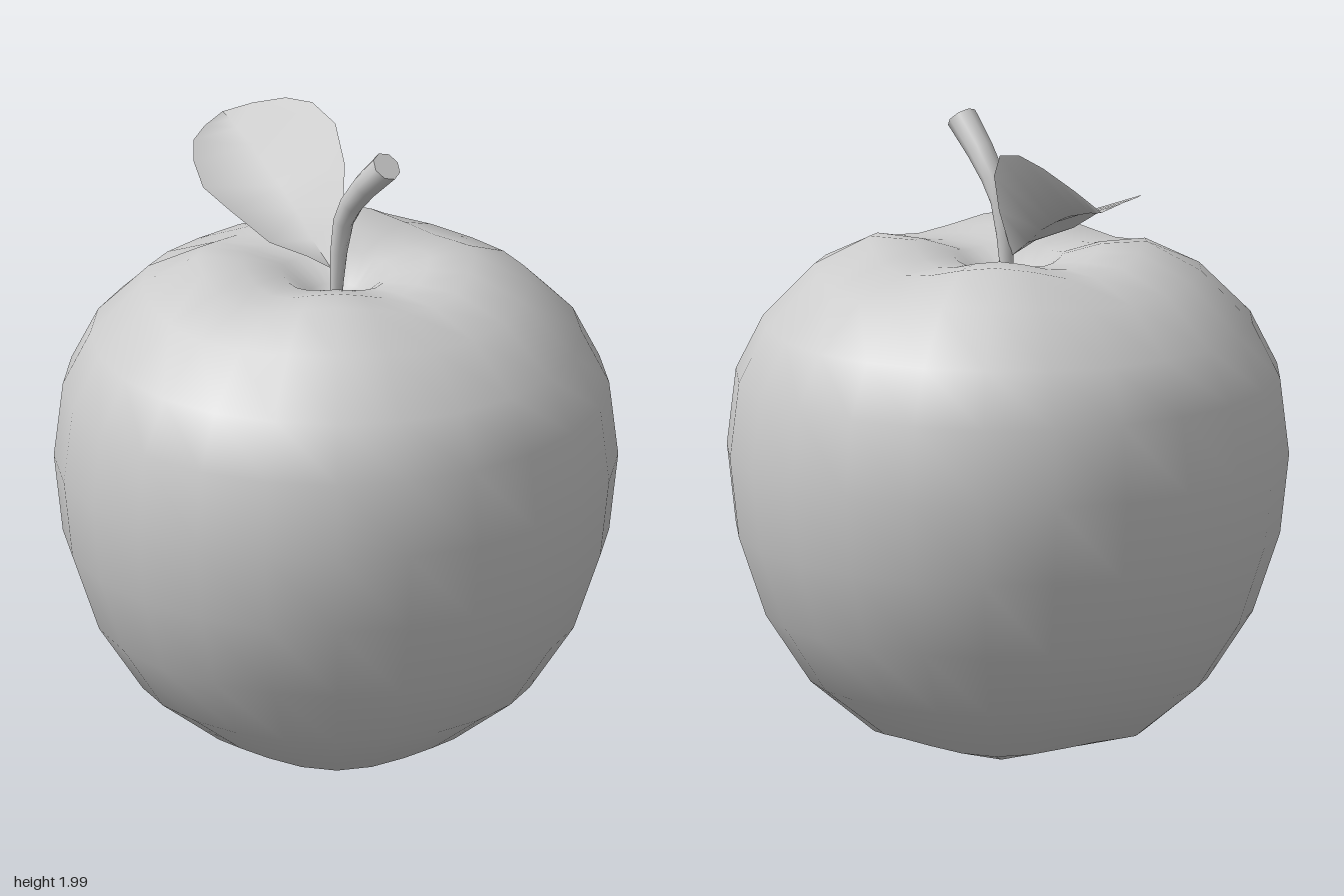
import * as THREE from 'three';
import { mergeVertices } from 'three/addons/utils/BufferGeometryUtils.js';

const grey = () => new THREE.MeshStandardMaterial({ color: 0xcccccc });

function named(name, geometry, material) {
  const mesh = new THREE.Mesh(geometry, material);
  mesh.name = name;
  return mesh;
}

// Round body: a lathe whose rims swell into four lobes on the diagonals
function makeBody() {
  // radius, height on the x and z axes, height on the diagonals
  const rings = [
    [0, 0.1, 0.1], [0.09, 0.065, 0.055], [0.23, 0.045, 0.005], [0.42, 0.08, 0.055],
    [0.62, 0.23, 0.225], [0.76, 0.44, 0.44], [0.845, 0.69, 0.69], [0.873, 0.94, 0.94],
    [0.845, 1.18, 1.18], [0.76, 1.345, 1.35], [0.6, 1.49, 1.515], [0.43, 1.55, 1.605],
    [0.29, 1.555, 1.595], [0.17, 1.545, 1.56], [0.08, 1.48, 1.48], [0, 1.43, 1.43],
  ];
  const geo = new THREE.LatheGeometry(rings.map(([r, y]) => new THREE.Vector2(r, y)), 24);
  const pos = geo.attributes.position;
  for (let i = 0; i < pos.count; i++) {
    const [, axisY, lobeY] = rings[i % rings.length];
    const angle = Math.atan2(pos.getX(i), pos.getZ(i));
    const lobe = (1 - Math.cos(4 * angle)) / 2;
    pos.setY(i, THREE.MathUtils.lerp(axisY, lobeY, lobe));
  }
  // weld the seam so the shading is smooth all round
  geo.deleteAttribute('uv');
  geo.deleteAttribute('normal');
  const welded = mergeVertices(geo, 1e-4);
  welded.computeVertexNormals();
  return named('fruitBody', welded, grey());
}

// Stem: an eight-sided cylinder bent along a curve, widening to its cut end
function makeStem() {
  const path = new THREE.CatmullRomCurve3([
    new THREE.Vector3(-0.01, 1.42, -0.01), new THREE.Vector3(-0.003, 1.56, -0.01),
    new THREE.Vector3(0.02, 1.72, -0.012), new THREE.Vector3(0.08, 1.825, -0.014),
    new THREE.Vector3(0.206, 1.957, -0.015),
  ]);
  const geo = new THREE.CylinderGeometry(0.048, 0.016, 1, 8, 6);
  const pos = geo.attributes.position;
  for (let i = 0; i < pos.count; i++) {
    const t = THREE.MathUtils.clamp(pos.getY(i) + 0.5, 0, 1);
    const p = path.getPoint(t);
    const dir = path.getTangent(t);
    const x = pos.getX(i);
    pos.setXYZ(i, p.x + x * dir.y, p.y - x * dir.x, p.z + pos.getZ(i));
  }
  geo.deleteAttribute('uv');
  const welded = mergeVertices(geo, 1e-4);
  welded.computeVertexNormals();
  return named('stem', welded, grey());
}

// Leaf: V-shaped cross-sections from base to tip
function makeLeaf() {
  const base = [-0.02, 1.555, 0], tip = [-0.69, 1.83, -0.2];
  // each section: front edge, midrib, back edge
  const sections = [
    [base, base, base],
    [[-0.06, 1.6, 0.06], [-0.12, 1.615, -0.02], [-0.04, 1.71, -0.07]],
    [[-0.15, 1.645, 0.14], [-0.22, 1.675, -0.05], [-0.1, 1.84, -0.14]],
    [[-0.27, 1.73, 0.19], [-0.32, 1.72, -0.08], [-0.2, 1.93, -0.2]],
    [[-0.39, 1.775, 0.19], [-0.42, 1.76, -0.11], [-0.33, 1.955, -0.23]],
    [[-0.5, 1.81, 0.12], [-0.51, 1.785, -0.14], [-0.45, 1.935, -0.235]],
    [[-0.59, 1.83, 0.03], [-0.6, 1.81, -0.17], [-0.58, 1.885, -0.22]],
    [[-0.64, 1.835, -0.07], [-0.65, 1.82, -0.19], [-0.63, 1.86, -0.21]],
    [tip, tip, tip],
  ];
  const index = [];
  for (let i = 0; i < sections.length - 1; i++) {
    for (let j = 0; j < 2; j++) {
      const a = i * 3 + j, b = a + 1, c = a + 3, d = a + 4;
      if (i > 0) index.push(a, b, c);
      if (i === 0) index.push(a, d, c);
      else if (i < sections.length - 2) index.push(b, d, c);
    }
  }
  const geo = new THREE.BufferGeometry();
  geo.setAttribute('position', new THREE.Float32BufferAttribute(sections.flat(2), 3));
  geo.setIndex(index);
  geo.computeVertexNormals();
  const material = grey();
  material.side = THREE.DoubleSide;
  return named('leaf', geo, material);
}

export function createModel() {
  const model = new THREE.Group();
  model.name = 'apple';
  model.add(makeBody(), makeStem(), makeLeaf());
  return model;
}
